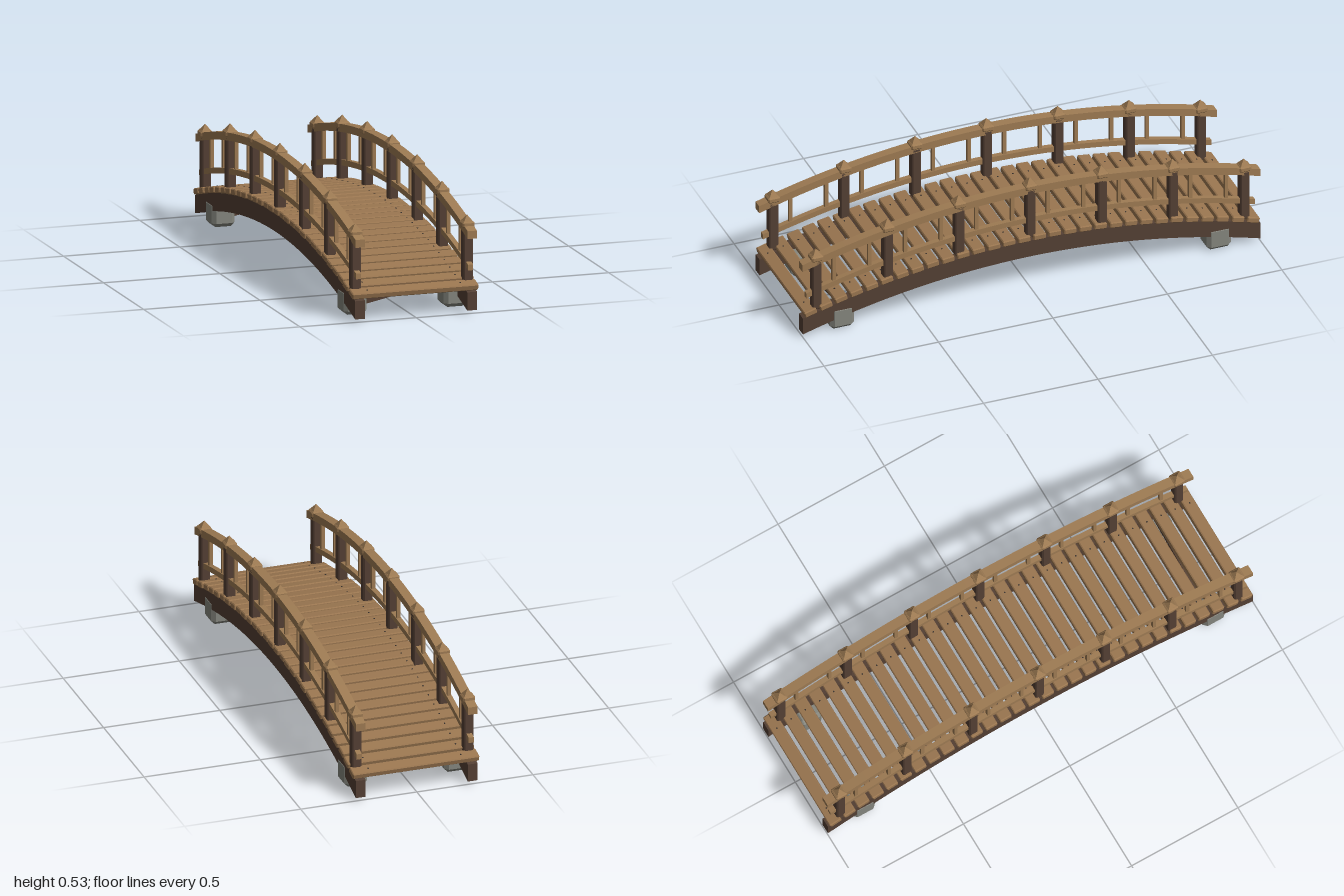
import * as THREE from 'three';
import { ConvexGeometry } from 'three/addons/geometries/ConvexGeometry.js';

const mat = (name, color) => {
  const m = new THREE.MeshStandardMaterial({ color });
  m.name = name;
  return m;
};

// Height of the arch relative to its crown, and its tilt
const RISE = 0.146;
const drop = (z) => -RISE * z * z;
const tilt = (z) => Math.atan(2 * RISE * z);

// Box with all edges chamfered by c
function chamferBox(w, h, d, c) {
  const pts = [];
  for (const sx of [-1, 1]) for (const sy of [-1, 1]) for (const sz of [-1, 1]) {
    const x = w / 2, y = h / 2, z = d / 2;
    pts.push(
      new THREE.Vector3(sx * x, sy * (y - c), sz * (z - c)),
      new THREE.Vector3(sx * (x - c), sy * y, sz * (z - c)),
      new THREE.Vector3(sx * (x - c), sy * (y - c), sz * z));
  }
  return new ConvexGeometry(pts);
}

// Curved timber following the arch; top and bottom are heights at the crown
function archGeometry(width, bottom, top, half) {
  const n = 32, s = new THREE.Shape();
  for (let i = 0; i <= n; i++) {
    const z = -half + (2 * half * i) / n;
    if (i === 0) s.moveTo(z, bottom + drop(z));
    else s.lineTo(z, bottom + drop(z));
  }
  for (let i = n; i >= 0; i--) {
    const z = -half + (2 * half * i) / n;
    s.lineTo(z, top + drop(z));
  }
  const g = new THREE.ExtrudeGeometry(s, { depth: width, bevelEnabled: false });
  g.translate(0, 0, -width / 2);
  g.rotateY(-Math.PI / 2);
  return g;
}

export function createModel() {
  const root = new THREE.Group();
  root.name = 'footbridge';
  const plankWood = mat('plank wood', 0x9a7650);
  const railWood = mat('rail wood', 0x9e7b53);
  const darkWood = mat('dark timber', 0x544034);
  const stone = mat('stone', 0x85867e);
  const iron = mat('nail iron', 0x3a332e);

  const add = (parent, name, geo, material, x = 0, y = 0, z = 0) => {
    const m = new THREE.Mesh(geo, material);
    m.name = name;
    m.position.set(x, y, z);
    parent.add(m);
    return m;
  };

  // Deck planks, each tilted to follow the arch
  const deck = new THREE.Group();
  deck.name = 'deck';
  root.add(deck);
  const count = 30, pitch = 2 / count;
  const nailGeo = new THREE.CylinderGeometry(0.0035, 0.0035, 0.004, 6);
  for (let i = 0; i < count; i++) {
    const z = -1 + pitch * (i + 0.5);
    const width = 0.544 + 0.003 * Math.sin(i * 2.3);
    const plank = add(deck, 'plank', chamferBox(width, 0.026, 0.054, 0.004), plankWood, 0, 0.248 + drop(z), z);
    plank.rotation.x = tilt(z);
    for (const x of [-0.2, 0.2]) add(plank, 'nail', nailGeo, iron, x, 0.0125, 0);
  }

  // Shared side geometry
  const beamGeo = archGeometry(0.042, 0.158, 0.234, 0.999);
  const topRailGeo = archGeometry(0.04, 0.457, 0.49, 1);
  const lowRailGeo = archGeometry(0.022, 0.315, 0.339, 0.98);
  const postGeo = chamferBox(0.04, 0.23, 0.04, 0.005);
  const capGeo = chamferBox(0.052, 0.026, 0.052, 0.006);
  const peakGeo = new THREE.ConeGeometry(0.0345, 0.033, 4).toNonIndexed();
  peakGeo.rotateY(Math.PI / 4);
  peakGeo.computeVertexNormals();
  const balusterGeo = new THREE.BoxGeometry(0.015, 0.145, 0.015);
  const stoneGeo = chamferBox(0.098, 0.105, 0.106, 0.016);

  for (const side of [-1, 1]) {
    const half = new THREE.Group();
    half.name = side > 0 ? 'leftSide' : 'rightSide';
    root.add(half);
    const x = side * 0.241;
    add(half, 'archBeam', beamGeo, darkWood, x);
    add(half, 'topRail', topRailGeo, railWood, x);
    add(half, 'lowerRail', lowRailGeo, railWood, x);

    // Posts with pointed caps, and two balusters in each bay
    const step = 0.3115;
    for (let i = -3; i <= 3; i++) {
      const z = i * step, y = drop(z);
      add(half, 'post', postGeo, darkWood, x, 0.36 + y, z);
      add(half, 'postCap', capGeo, railWood, x, 0.487 + y, z);
      add(half, 'capPeak', peakGeo, railWood, x, 0.5095 + y, z);
      if (i === 3) continue;
      for (const t of [0.25, 0.75]) {
        const bz = (i + t) * step;
        add(half, 'baluster', balusterGeo, railWood, x, 0.395 + drop(bz), bz);
      }
    }

    // Foundation stones
    for (const z of [-0.823, 0.823]) add(half, 'footing', stoneGeo, stone, side * 0.215, 0.0525, z);
  }

  // Sloping cross braces between the footings
  for (const z of [-0.823, 0.823]) {
    const brace = add(root, 'crossBrace', new THREE.BoxGeometry(0.44, 0.027, 0.027), darkWood, 0, 0.08, z);
    brace.rotation.z = Math.atan(0.2);
  }
  return root;
}
